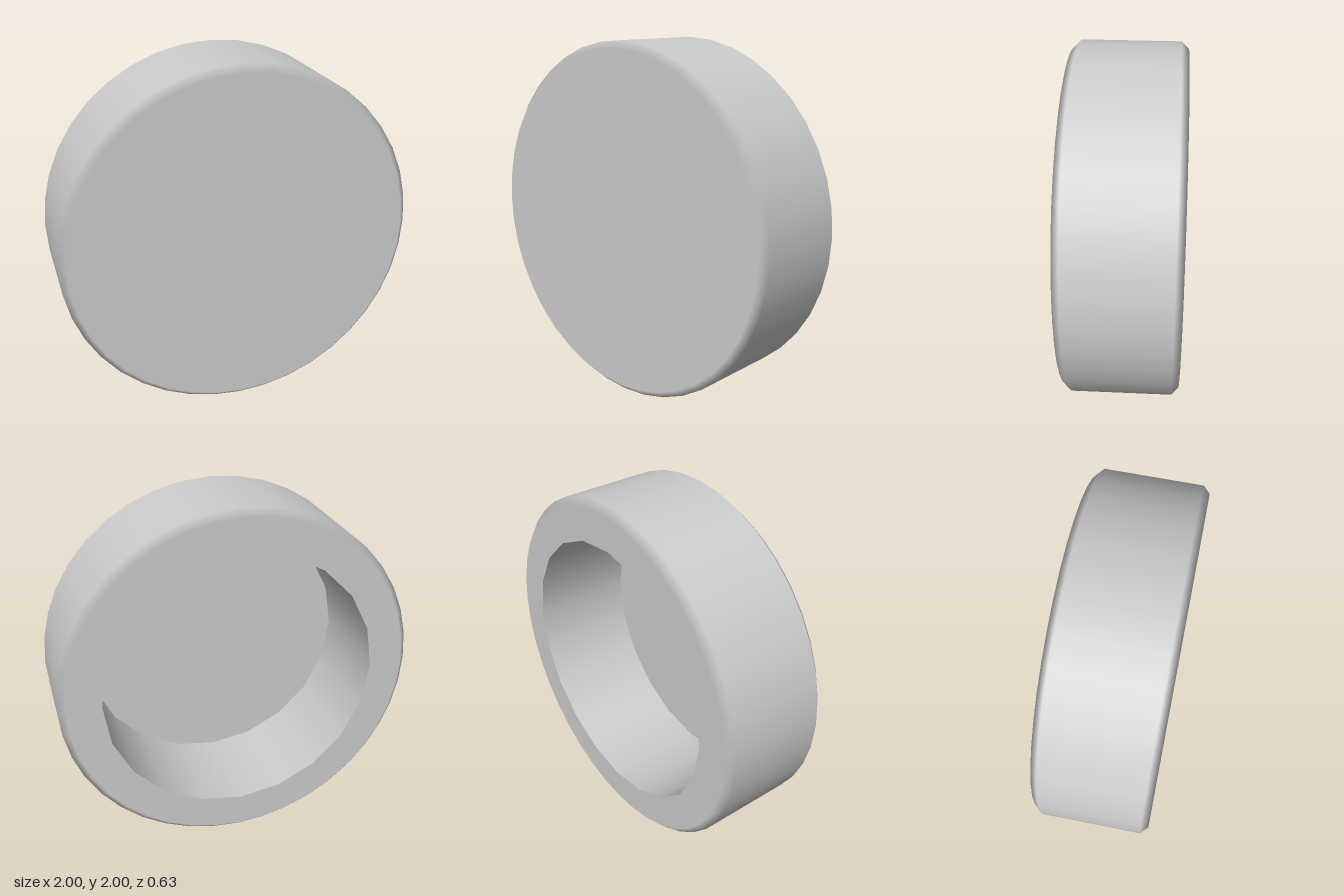
import * as THREE from 'three';

const R = 1, HALF = 0.315, BEVEL = 0.04;   // outer drum
const HOLE_R = 0.77, FLOOR_Z = 0.27;       // recess open to the back
const OUTER_SIDES = 40, HOLE_SIDES = 20;

const v2 = (x, y) => new THREE.Vector2(x, y);

function ring(radius, sides) {
  return Array.from({ length: sides }, (_, i) => {
    const a = (i / sides) * Math.PI * 2;
    return v2(radius * Math.cos(a), radius * Math.sin(a));
  });
}

export function createModel() {
  const group = new THREE.Group();
  group.name = 'hollowDisc';
  const material = new THREE.MeshStandardMaterial({ color: 0xcccccc });
  const add = (name, geometry) => {
    const mesh = new THREE.Mesh(geometry, material);
    mesh.name = name;
    mesh.position.y = R;
    group.add(mesh);
  };

  // Front face, bevels and side, turned around the z axis
  const profile = [
    v2(R - BEVEL, -HALF), v2(R, -HALF + BEVEL),
    v2(R, HALF - BEVEL), v2(R - BEVEL, HALF), v2(0, HALF),
  ];
  const shell = new THREE.LatheGeometry(profile, OUTER_SIDES);
  // Radial normals on the side, axial on the faces: only the bevels blend
  const pos = shell.attributes.position;
  const normal = shell.attributes.normal;
  for (let i = 0; i < pos.count; i++) {
    const y = pos.getY(i);
    if (Math.abs(y) > HALF - BEVEL / 2) normal.setXYZ(i, 0, Math.sign(y), 0);
    else normal.setXYZ(i, pos.getX(i) / R, 0, pos.getZ(i) / R);
  }
  shell.rotateX(Math.PI / 2);
  add('outerShell', shell);

  // Flat rim around the recess
  const rimShape = new THREE.Shape(ring(R - BEVEL, OUTER_SIDES));
  rimShape.holes.push(new THREE.Path(ring(HOLE_R, HOLE_SIDES)));
  add('backRim', new THREE.ShapeGeometry(rimShape).rotateY(Math.PI).translate(0, 0, -HALF));

  // Recess wall, facing inwards
  const wall = new THREE.LatheGeometry([v2(HOLE_R, FLOOR_Z), v2(HOLE_R, -HALF)], HOLE_SIDES);
  add('recessWall', wall.rotateX(Math.PI / 2));

  // Recess floor
  const floor = new THREE.CircleGeometry(HOLE_R, HOLE_SIDES);
  add('recessFloor', floor.rotateY(Math.PI).translate(0, 0, FLOOR_Z));

  return group;
}
